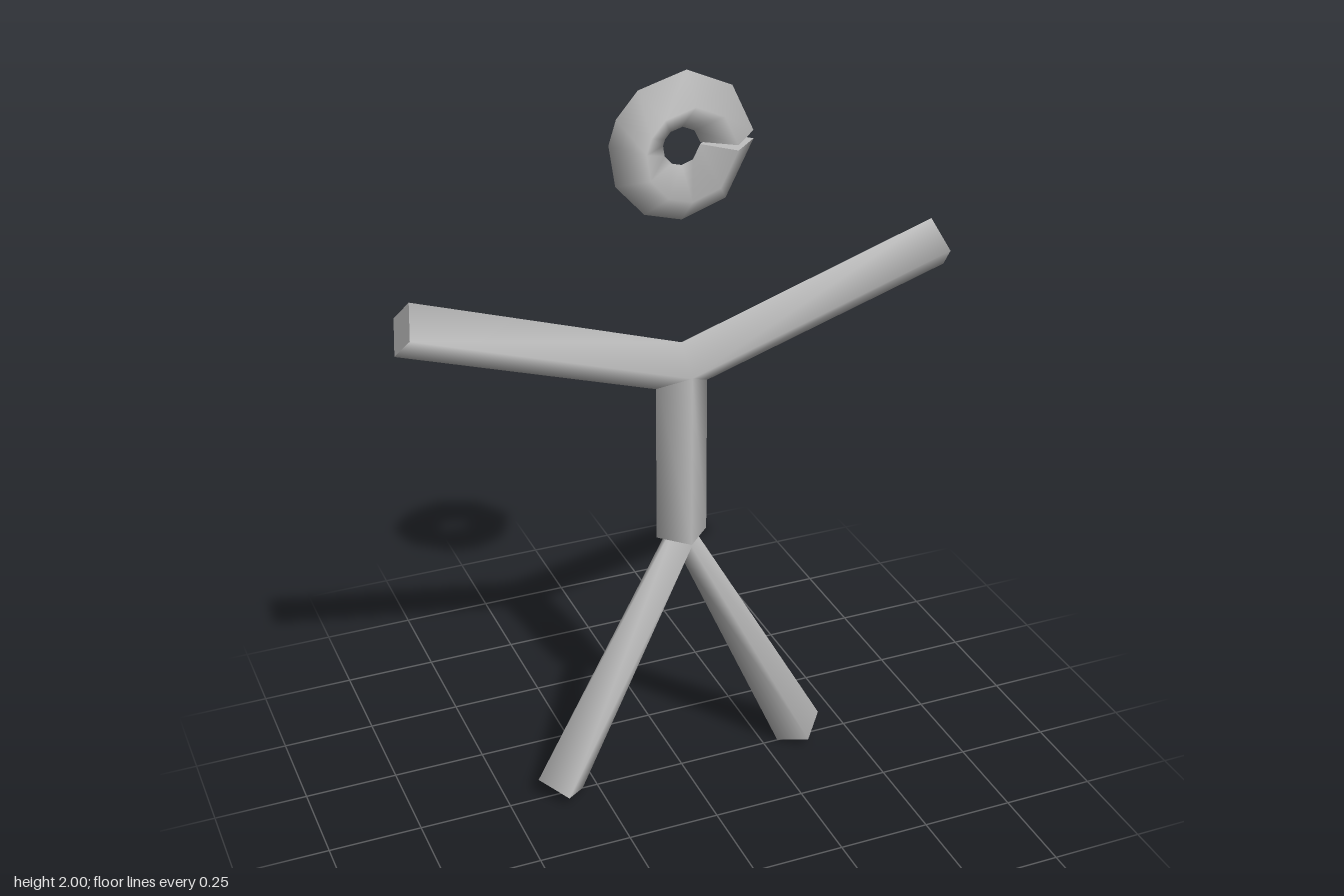
import * as THREE from 'three';

const R = 0.07; // half-width of every diamond-section bar
const SIDES = 4;

// Sweep a diamond section along stations [x, y, tangentAngle] in the xy plane, with flat end caps
function sweep(name, stations, material) {
  const pos = [], idx = [];
  const addRing = ([x, y, angle]) => {
    for (let j = 0; j < SIDES; j++) {
      const a = (j / SIDES) * Math.PI * 2;
      const n = R * Math.cos(a);
      pos.push(x - Math.sin(angle) * n, y + Math.cos(angle) * n, R * Math.sin(a));
    }
  };
  stations.forEach(addRing);
  for (let i = 0; i < stations.length - 1; i++) {
    for (let j = 0; j < SIDES; j++) {
      const k = (j + 1) % SIDES;
      const a = i * SIDES + j, b = i * SIDES + k;
      const c = b + SIDES, d = a + SIDES;
      idx.push(a, b, d, b, c, d);
    }
  }
  // Caps use their own vertices so their edges stay sharp
  const s = pos.length / 3;
  addRing(stations[0]);
  idx.push(s, s + 2, s + 1, s, s + 3, s + 2);
  const e = s + SIDES;
  addRing(stations[stations.length - 1]);
  idx.push(e, e + 1, e + 2, e, e + 2, e + 3);

  const geometry = new THREE.BufferGeometry();
  geometry.setAttribute('position', new THREE.Float32BufferAttribute(pos, 3));
  geometry.setIndex(idx);
  geometry.computeVertexNormals();
  const mesh = new THREE.Mesh(geometry, material);
  mesh.name = name;
  return mesh;
}

// A mirrored pair of limbs as one bent bar, running from -x to +x
function limbPair(name, x, yEnd, yMiddle, material) {
  const slope = Math.atan2(yEnd - yMiddle, x);
  return sweep(name, [[-x, yEnd, -slope], [0, yMiddle, 0], [x, yEnd, slope]], material);
}

export function createModel() {
  const group = new THREE.Group();
  group.name = 'stickFigure';
  const grey = new THREE.MeshStandardMaterial({ color: 0xbfbfbf });
  grey.name = 'grey';

  // Ring head, slightly uneven, with a narrow slit on the left side
  const ringRadius = 0.118, headY = 1.812;
  const headAngles = [4.5, 46, 86, 126, 152, 172, 205, 239, 270, 308, 358];
  const ring = headAngles.map((deg) => {
    const a = THREE.MathUtils.degToRad(deg);
    return [ringRadius * Math.cos(a), headY + ringRadius * Math.sin(a), a + Math.PI / 2];
  });
  group.add(sweep('head', ring, grey));

  // Arms, torso and legs
  group.add(limbPair('arms', 0.712, 1.455, 1.225, grey));
  group.add(sweep('torso', [[0, 0.745, Math.PI / 2], [0, 1.225, Math.PI / 2]], grey));
  group.add(limbPair('legs', 0.355, 0.032, 0.74, grey));
  return group;
}
